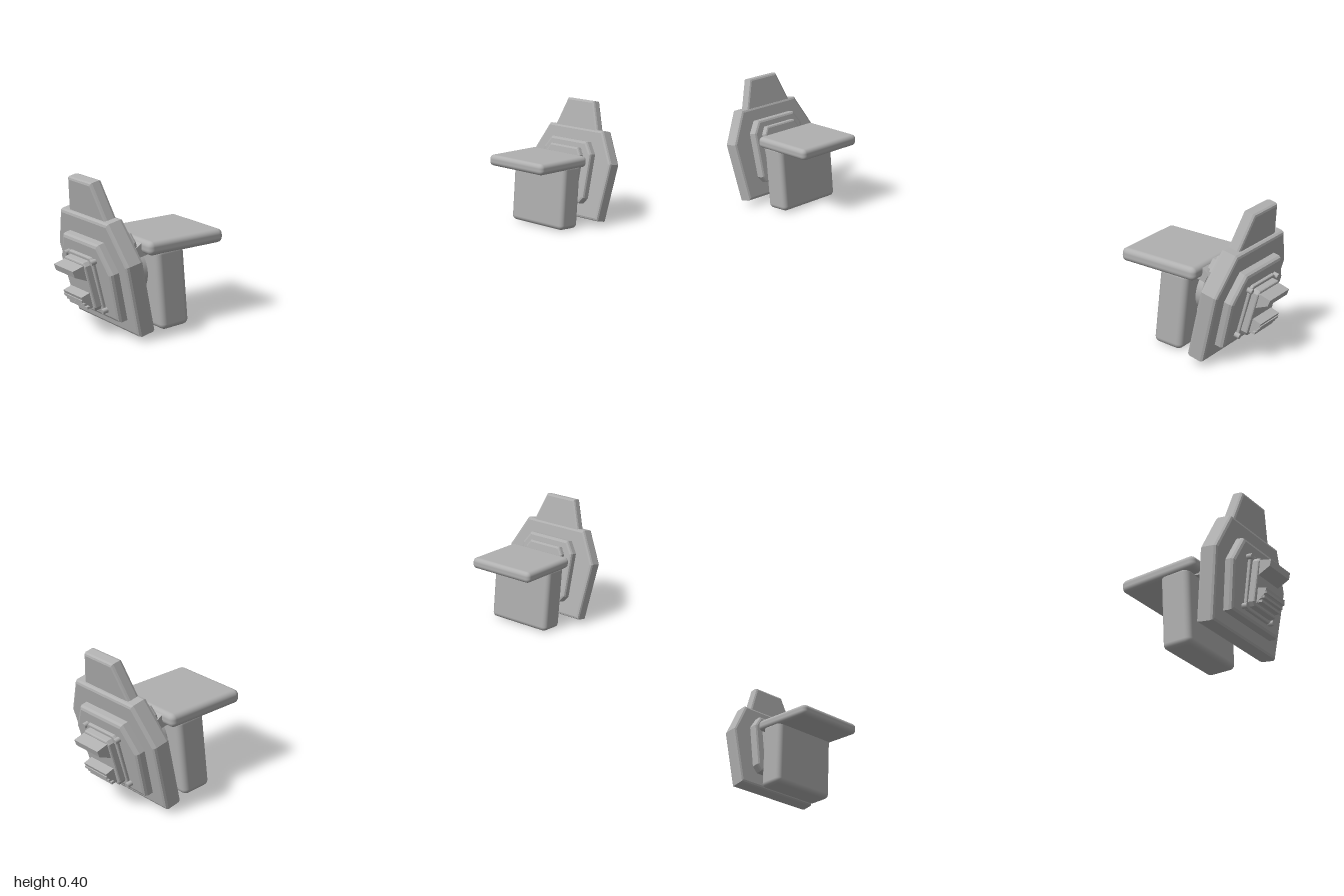
import * as THREE from 'three';
import { RoundedBoxGeometry } from 'three/addons/geometries/RoundedBoxGeometry.js';

const grey = new THREE.MeshStandardMaterial({ color: 0xb0b0b0 });
grey.name = 'armourGrey';

function part(name, geometry, parent, x = 0, y = 0, z = 0) {
  const mesh = new THREE.Mesh(geometry, grey);
  mesh.name = name;
  mesh.position.set(x, y, z);
  parent.add(mesh);
  return mesh;
}

// Bevelled plate: half outline as [z, y] pairs from bottom to top, spanning x0..x1.
function plate(half, x0, x1, bevel) {
  const mirrored = half.map(([z, y]) => [-z, y]).reverse();
  const shape = new THREE.Shape([...half, ...mirrored].map(([z, y]) => new THREE.Vector2(z, y)));
  const geometry = new THREE.ExtrudeGeometry(shape, {
    depth: x1 - x0 - 2 * bevel, bevelThickness: bevel, bevelSize: bevel,
    bevelOffset: -bevel, bevelSegments: 2,
  });
  return geometry.rotateY(Math.PI / 2).translate(x0 + bevel, 0, 0);
}

// Side profile in [x, y], extruded along z and centred.
function profile(points, width) {
  const shape = new THREE.Shape(points.map(([x, y]) => new THREE.Vector2(x, y)));
  return new THREE.ExtrudeGeometry(shape, { depth: width, bevelEnabled: false })
    .translate(0, 0, -width / 2);
}

function createShield() {
  // Local x points outward, local y runs up the leaning plate.
  const shield = new THREE.Group();
  shield.name = 'shield';
  shield.position.x = 0.856;
  shield.rotation.z = -0.197;

  part('mainPlate', plate([[0.15, 0.018], [0.167, 0.208], [0.113, 0.31]], -0.024, 0.024, 0.008), shield);
  part('topFin', plate([[0.115, 0.25], [0.093, 0.298], [0.055, 0.402]], -0.021, 0.012, 0.007), shield);
  part('outerPanel', plate([[0.11, 0.057], [0.123, 0.187], [0.083, 0.258]], 0.015, 0.048, 0.009), shield);
  part('innerPanel', plate([[0.085, 0.065], [0.1, 0.085], [0.1, 0.23], [0.075, 0.268]], -0.05, -0.015, 0.008), shield);
  part('innerPad', plate([[0.06, 0.09], [0.072, 0.105], [0.072, 0.222], [0.058, 0.245]], -0.068, -0.045, 0.006), shield);

  // Vent housing on the outside
  part('ventBase', plate([[0.05, 0.077], [0.06, 0.087], [0.06, 0.212], [0.05, 0.222]], 0.04, 0.056, 0.003), shield);
  part('ventHousing', plate([[0.048, 0.086], [0.055, 0.096], [0.051, 0.205], [0.044, 0.214]], 0.05, 0.074, 0.004), shield);
  part('upperHood', profile([[0.06, 0.168], [0.074, 0.168], [0.103, 0.188], [0.105, 0.205], [0.06, 0.209]], 0.094), shield);
  part('lowerHood', profile([[0.06, 0.094], [0.074, 0.094], [0.095, 0.118], [0.098, 0.132], [0.06, 0.137]], 0.09), shield);
  for (let i = 0; i < 3; i++) {
    part('ventSlat', new THREE.BoxGeometry(0.02, 0.006, 0.088), shield, 0.079 + i * 0.005, 0.099 + i * 0.011, 0);
  }
  for (const y of [0.083, 0.214]) {
    for (const z of [-0.063, 0.063]) {
      part('bolt', new THREE.CylinderGeometry(0.007, 0.007, 0.024, 12).rotateZ(Math.PI / 2), shield, 0.05, y, z);
    }
  }
  return shield;
}

function createShoulder(name) {
  const shoulder = new THREE.Group();
  shoulder.name = name;
  shoulder.add(createShield());

  // Horizontal shelf and hanging block
  part('shelf', new RoundedBoxGeometry(0.22, 0.036, 0.23, 3, 0.014), shoulder, 0.712, 0.217, 0);
  part('shelfLip', profile([[0.78, 0.2], [0.83, 0.19], [0.84, 0.215], [0.815, 0.23], [0.78, 0.232]], 0.15), shoulder);
  const block = part('hangingBlock', new RoundedBoxGeometry(0.082, 0.212, 0.22, 3, 0.015), shoulder, 0.755, 0.107, 0);
  block.rotation.z = -0.04;

  // Swivel joint between block and shield
  part('jointDisc', new THREE.CylinderGeometry(0.06, 0.06, 0.05, 32).rotateZ(Math.PI / 2), shoulder, 0.81, 0.145, 0);
  part('jointHub', new THREE.CylinderGeometry(0.04, 0.04, 0.09, 24).rotateZ(Math.PI / 2), shoulder, 0.825, 0.145, 0);
  part('jointBlock', new RoundedBoxGeometry(0.05, 0.07, 0.09, 2, 0.01), shoulder, 0.81, 0.115, 0);
  return shoulder;
}

export function createModel() {
  const model = new THREE.Group();
  model.name = 'shoulderArmour';
  const left = createShoulder('leftShoulder');
  const right = createShoulder('rightShoulder');
  // Each piece is symmetric front to back, so a half turn mirrors it.
  right.rotation.y = Math.PI;
  model.add(left, right);
  return model;
}
